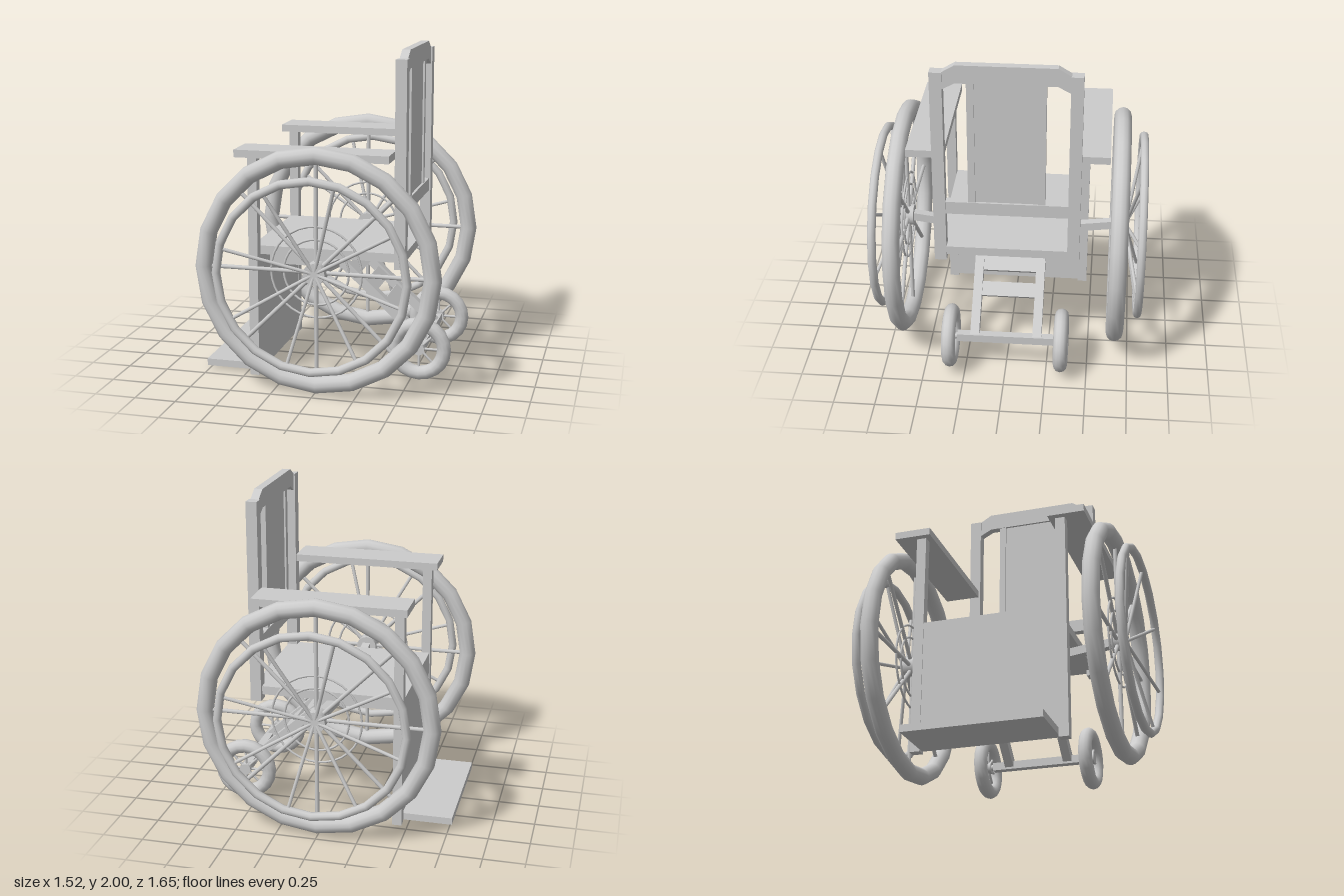
import * as THREE from 'three';

const material = new THREE.MeshStandardMaterial({ color: 0xcccccc });
const V = (x, y, z) => new THREE.Vector3(x, y, z);

function add(parent, name, geometry, x = 0, y = 0, z = 0) {
  const mesh = new THREE.Mesh(geometry, material);
  mesh.name = name;
  mesh.position.set(x, y, z);
  parent.add(mesh);
  return mesh;
}

// Box given by its extents on each axis
function box(parent, name, [x0, x1], [y0, y1], [z0, z1]) {
  return add(parent, name, new THREE.BoxGeometry(x1 - x0, y1 - y0, z1 - z0),
    (x0 + x1) / 2, (y0 + y1) / 2, (z0 + z1) / 2);
}

// Mirrored pair of boxes, z0 and z1 on the +z side
function boxPair(parent, name, xs, ys, [z0, z1]) {
  box(parent, name + 'Left', xs, ys, [z0, z1]);
  box(parent, name + 'Right', xs, ys, [-z1, -z0]);
}

// Square beam between two points
function beam(parent, name, a, b, size) {
  const mesh = add(parent, name, new THREE.BoxGeometry(size, size, a.distanceTo(b)));
  mesh.position.copy(a).add(b).multiplyScalar(0.5);
  mesh.lookAt(b);
  return mesh;
}

// Round rod between two points
function rod(parent, name, a, b, radius) {
  const geometry = new THREE.CylinderGeometry(radius, radius, a.distanceTo(b), 8);
  geometry.rotateX(Math.PI / 2);
  const mesh = add(parent, name, geometry);
  mesh.position.copy(a).add(b).multiplyScalar(0.5);
  mesh.lookAt(b);
  return mesh;
}

// Eight spokes from the hub (z0) out to a ring (z1)
function spokes(parent, name, r0, r1, z0, z1, thickness, offset) {
  for (let i = 0; i < 8; i++) {
    const a = offset + i * Math.PI / 4;
    const c = Math.cos(a), s = Math.sin(a);
    rod(parent, name, V(c * r0, s * r0, z0), V(c * r1, s * r1, z1), thickness);
  }
}

function hub(parent, name, radius, length, z) {
  const geometry = new THREE.CylinderGeometry(radius, radius, length, 16);
  geometry.rotateX(Math.PI / 2);
  return add(parent, name, geometry, 0, 0, z);
}

// Big wheel with a dished hand rim; local +z points outwards
function bigWheel() {
  const wheel = new THREE.Group();
  add(wheel, 'tire', new THREE.TorusGeometry(0.685, 0.053, 12, 20).rotateZ(Math.PI / 2));
  add(wheel, 'handRim', new THREE.TorusGeometry(0.563, 0.026, 10, 20).rotateZ(Math.PI / 2), 0, 0, 0.137);
  hub(wheel, 'hub', 0.065, 0.09, 0.01);
  spokes(wheel, 'tireSpoke', 0.02, 0.66, 0, 0, 0.013, 0);
  spokes(wheel, 'rimSpoke', 0.02, 0.555, 0.045, 0.137, 0.011, Math.PI / 6);
  add(wheel, 'outerSpokeRing', new THREE.TorusGeometry(0.272, 0.007, 6, 32));
  add(wheel, 'innerSpokeRing', new THREE.TorusGeometry(0.195, 0.007, 6, 32));
  return wheel;
}

function caster() {
  const wheel = new THREE.Group();
  add(wheel, 'casterTire', new THREE.TorusGeometry(0.152, 0.043, 12, 20));
  hub(wheel, 'casterHub', 0.036, 0.05, 0);
  spokes(wheel, 'casterSpoke', 0.02, 0.13, 0, 0, 0.008, 0);
  return wheel;
}

// Backrest top rail: chamfered shoulders, drawn in (z, y) and turned to face x
function topRail() {
  const shape = new THREE.Shape([
    [-0.365, 1.85], [-0.29, 1.89], [0.29, 1.89], [0.365, 1.85],
    [0.365, 1.955], [0.29, 2.0], [-0.29, 2.0], [-0.365, 1.955],
  ].map(([z, y]) => new THREE.Vector2(z, y)));
  const geometry = new THREE.ExtrudeGeometry(shape, { depth: 0.05, bevelEnabled: false });
  return geometry.rotateY(Math.PI / 2);
}

export function createModel() {
  const chair = new THREE.Group();
  chair.name = 'wheelchair';

  // Seat, front board and footplate
  box(chair, 'seat', [-0.46, 0.42], [0.757, 0.81], [-0.41, 0.41]);
  box(chair, 'seatRear', [0.42, 0.48], [0.757, 0.81], [-0.362, 0.362]);
  box(chair, 'frontBoard', [-0.46, -0.41], [0.02, 0.757], [-0.41, 0.41]);
  box(chair, 'footplate', [-0.765, -0.46], [0.017, 0.06], [-0.41, 0.41]);

  // Front legs and armrests
  boxPair(chair, 'frontLeg', [-0.465, -0.408], [0.005, 1.38], [0.41, 0.47]);
  boxPair(chair, 'armrest', [-0.505, 0.42], [1.38, 1.425], [0.373, 0.598]);

  // Backrest
  boxPair(chair, 'backPost', [0.42, 0.487], [0.72, 1.955], [0.362, 0.434]);
  add(chair, 'backTopRail', topRail(), 0.428, 0, 0);
  box(chair, 'backLowerRail', [0.428, 0.478], [1.04, 1.12], [-0.362, 0.362]);
  boxPair(chair, 'backStile', [0.432, 0.474], [1.12, 1.89], [0.185, 0.227]);
  box(chair, 'backPanel', [0.443, 0.463], [1.12, 1.89], [-0.185, 0.185]);

  // Underframe: level rails, then sloping rails down to the caster bar
  boxPair(chair, 'seatRail', [-0.41, 0.08], [0.65, 0.705], [0.163, 0.22]);
  for (const side of [1, -1]) {
    beam(chair, 'slopingRail', V(0.05, 0.685, side * 0.1915), V(0.565, 0.215, side * 0.1915), 0.055);
    beam(chair, 'axleArm', V(0.01, 0.677, side * 0.19), V(0.01, 0.737, side * 0.64), 0.052);
  }
  box(chair, 'axleCrossbar', [-0.018, 0.038], [0.65, 0.705], [-0.2, 0.2]);
  box(chair, 'seatSupport', [-0.41, 0.04], [0.705, 0.757], [-0.03, 0.03]);
  for (const [x, y] of [[0.11, 0.63], [0.22, 0.53], [0.34, 0.42]]) {
    const slat = box(chair, 'railCrossbar', [x - 0.045, x + 0.045], [y - 0.014, y + 0.014], [-0.165, 0.165]);
    slat.rotation.z = -0.74;
  }
  box(chair, 'casterBar', [0.537, 0.587], [0.19, 0.24], [-0.3, 0.3]);

  // Wheels on both sides
  for (const side of [1, -1]) {
    const label = side > 0 ? 'Left' : 'Right';
    const wheel = bigWheel();
    wheel.name = 'bigWheel' + label;
    wheel.position.set(0.01, 0.738, side * 0.665);
    const small = caster();
    small.name = 'caster' + label;
    small.position.set(0.56, 0.215, side * 0.34);
    if (side < 0) {
      // half turn about x keeps the dish outward and mirrors the spokes
      wheel.rotation.x = Math.PI;
    }
    chair.add(wheel, small);
    rod(chair, 'casterAxle' + label, V(0.56, 0.215, side * 0.28), V(0.56, 0.215, side * 0.36), 0.02);
  }
  return chair;
}
